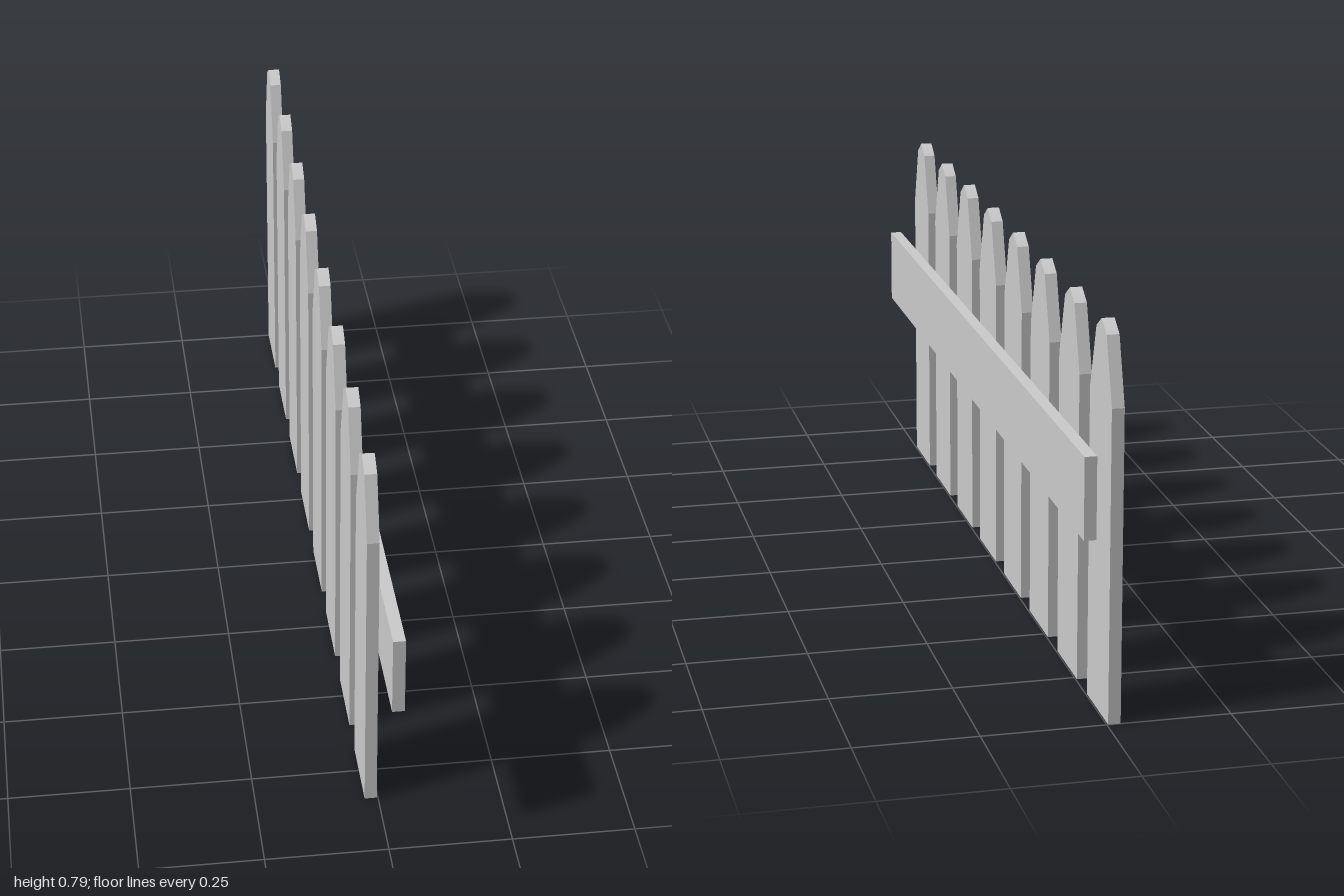
import * as THREE from 'three';

const THICKNESS = 0.025;
const material = new THREE.MeshStandardMaterial({ color: 0xcccccc, side: THREE.DoubleSide });

// Pointed board with an open foot and a softened tip, thin along x
function picketGeometry() {
  const outline = [
    [-0.08, 0], [0.08, 0], [0.08, 0.635], [0.037, 0.767],
    [0, 0.79], [-0.037, 0.767], [-0.08, 0.635],
  ].map(([x, y]) => new THREE.Vector2(x, y));
  const solid = new THREE.ExtrudeGeometry(new THREE.Shape(outline), {
    depth: THICKNESS, bevelEnabled: false,
  });
  const pos = solid.attributes.position;
  const nor = solid.attributes.normal;
  const points = [], normals = [];
  for (let i = 0; i < pos.count; i++) {
    if (nor.getY(i) < -0.9) continue; // leave the foot open
    points.push(pos.getX(i), pos.getY(i), pos.getZ(i));
    const softTip = pos.getY(i) > 0.78 && Math.abs(nor.getZ(i)) < 0.5;
    if (softTip) normals.push(0, 1, 0);
    else normals.push(nor.getX(i), nor.getY(i), nor.getZ(i));
  }
  const geometry = new THREE.BufferGeometry();
  geometry.setAttribute('position', new THREE.Float32BufferAttribute(points, 3));
  geometry.setAttribute('normal', new THREE.Float32BufferAttribute(normals, 3));
  return geometry.rotateY(Math.PI / 2);
}

export function createModel() {
  const fence = new THREE.Group();
  fence.name = 'picketFence';

  // Row of eight pickets
  const geometry = picketGeometry();
  for (let i = 0; i < 8; i++) {
    const picket = new THREE.Mesh(geometry, material);
    picket.name = `picket${i + 1}`;
    picket.position.set(-0.0275, 0, 0.76 - i * 0.24);
    fence.add(picket);
  }

  // Horizontal rail, overhanging the row at one end
  const rail = new THREE.Mesh(new THREE.BoxGeometry(THICKNESS, 0.169, 1.916), material);
  rail.name = 'rail';
  rail.position.set(0.0145, 0.4325, 0.042);
  fence.add(rail);

  return fence;
}
